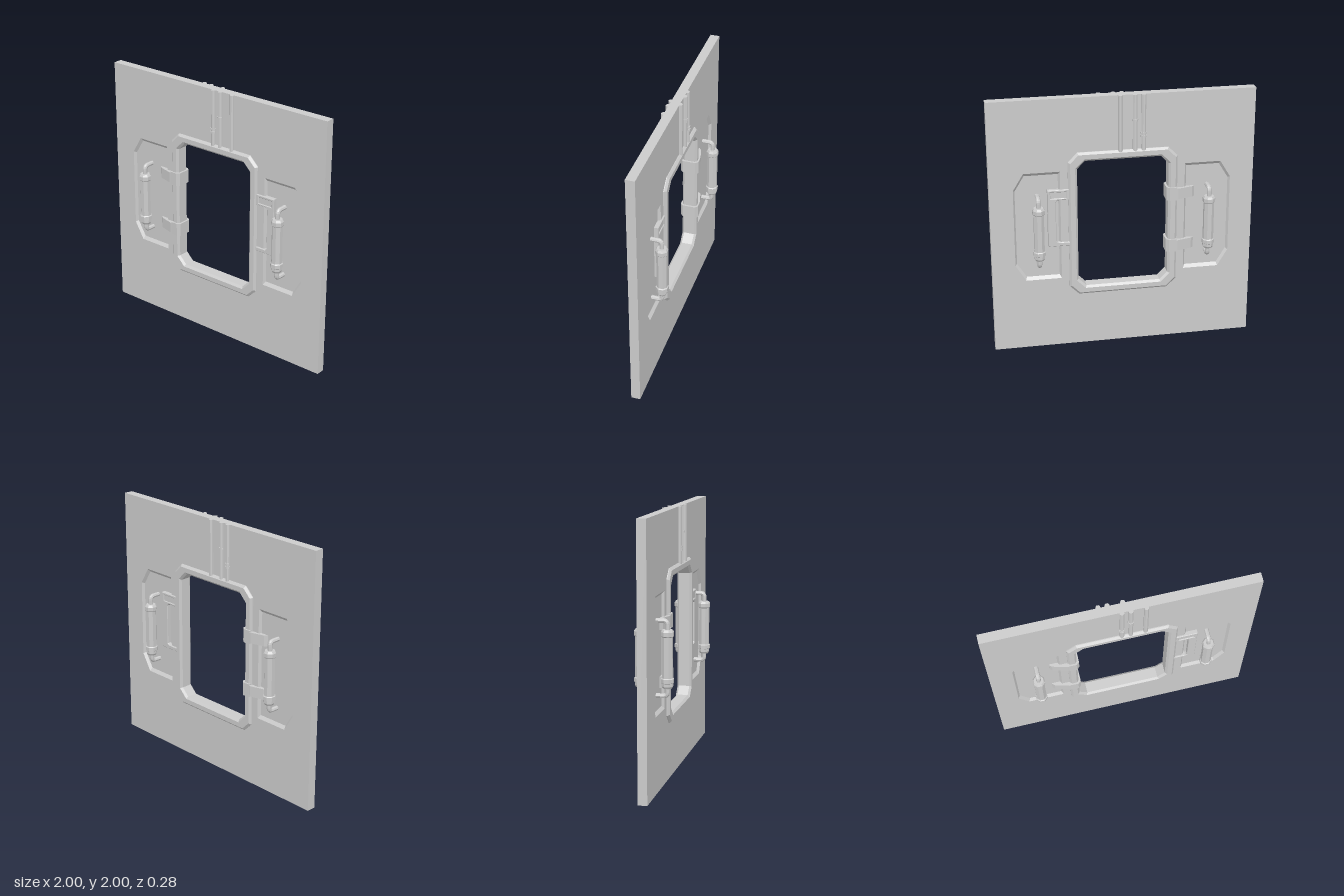
import * as THREE from 'three';

const mat = new THREE.MeshStandardMaterial({ color: 0xcccccc, flatShading: true, side: THREE.DoubleSide });
const WALL = 0.035, FLOOR = 0.015;

const vecs = pts => pts.map(([x, y]) => new THREE.Vector2(x, y));

// Extrudes an outline (with holes) symmetrically about z = 0
function slab(pts, holes, half, bevel = 0) {
  const shape = new THREE.Shape(vecs(pts));
  shape.holes = holes.map(h => new THREE.Path(vecs(h)));
  const depth = 2 * (half - bevel);
  const geo = new THREE.ExtrudeGeometry(shape, {
    depth, bevelEnabled: bevel > 0, bevelSize: bevel, bevelThickness: bevel, bevelOffset: -bevel, bevelSegments: 1,
  });
  return geo.translate(0, 0, -depth / 2);
}

// Rectangle with cut corners, counter-clockwise
function cutRect(x0, y0, x1, y1, c) {
  return [[x0 + c, y0], [x1 - c, y0], [x1, y0 + c], [x1, y1 - c],
    [x1 - c, y1], [x0 + c, y1], [x0, y1 - c], [x0, y0 + c]];
}

const rect = (x0, y0, x1, y1) => [[x0, y0], [x1, y0], [x1, y1], [x0, y1]];

// Sloped band from an outer outline at the wall face to an inner one at the recess floor
function slope(outer, inner, s) {
  const pos = [];
  outer.forEach((a, i) => {
    const j = (i + 1) % outer.length;
    const q = [[...a, s * WALL], [...outer[j], s * WALL], [...inner[j], s * FLOOR], [...inner[i], s * FLOOR]];
    const order = s > 0 ? [0, 1, 2, 0, 2, 3] : [0, 2, 1, 0, 3, 2];
    order.forEach(k => pos.push(...q[k]));
  });
  const geo = new THREE.BufferGeometry();
  geo.setAttribute('position', new THREE.Float32BufferAttribute(pos, 3));
  geo.computeVertexNormals();
  return geo;
}

export function createModel() {
  const model = new THREE.Group();
  const add = (name, geo, x = 0, y = 0, z = 0, parent = model) => {
    const mesh = new THREE.Mesh(geo, mat);
    mesh.name = name;
    mesh.position.set(x, y, z);
    parent.add(mesh);
    return mesh;
  };

  // Wall with the doorway and two side recesses
  const recessOuter = [[0.472, 0.57], [0.745, 0.57], [0.823, 0.7], [0.823, 1.308], [0.745, 1.438], [0.472, 1.438]];
  const recessInner = [[0.486, 0.594], [0.738, 0.594], [0.809, 0.71], [0.809, 1.298], [0.738, 1.414], [0.486, 1.414]];
  const flip = pts => pts.map(([x, y]) => [-x, y]).reverse();
  const doorway = cutRect(-0.37, 0.47, 0.37, 1.54, 0.07);
  add('wall', slab(rect(-1, 0, 1, 2), [doorway, recessOuter, flip(recessOuter)], WALL));
  for (const side of [1, -1]) {
    const outer = side > 0 ? recessOuter : flip(recessOuter);
    const inner = side > 0 ? recessInner : flip(recessInner);
    add('recessFloor', slab(outer, [], FLOOR));
    for (const s of [1, -1]) add('recessSlope', slope(outer, inner, s));
  }

  // Bevelled door frame
  add('doorFrame', slab(cutRect(-0.414, 0.427, 0.414, 1.58, 0.072),
    [cutRect(-0.345, 0.495, 0.345, 1.512, 0.06)], 0.057, 0.016));

  // Hinges: profile seen from above, extruded upwards
  const hinge = (pts, h) => {
    const both = [...pts, ...pts.map(([x, z]) => [x, -z]).reverse()];
    const geo = new THREE.ExtrudeGeometry(new THREE.Shape(vecs(both)), { depth: h, bevelEnabled: false });
    return geo.translate(0, 0, -h / 2).rotateX(-Math.PI / 2);
  };
  for (const y of [1.207, 0.782]) {
    const group = new THREE.Group();
    group.name = 'hinge';
    add('hingeArm', hinge([[-0.55, 0.02], [-0.53, 0.037], [-0.42, 0.067], [-0.38, 0.067]], 0.084), 0, y, 0, group);
    add('hingeClamp', hinge([[-0.41, 0.068], [-0.352, 0.07], [-0.33, 0.05]], 0.104), 0, y, 0, group);
    model.add(group);
  }

  // C-shaped latch housing with a recessed display
  const latch = [[0.39, 0.842], [0.57, 0.842], [0.57, 1.297], [0.39, 1.297], [0.39, 1.215], [0.495, 1.215],
    [0.508, 1.2], [0.508, 0.885], [0.495, 0.872], [0.39, 0.872]];
  const display = rect(0.43, 1.23, 0.548, 1.278);
  add('latchHousing', slab(latch, [display], 0.047, 0.004));
  add('latchDisplay', slab(rect(0.42, 1.222, 0.56, 1.288), [], 0.04));

  // Octagonal canisters with elbow pipes, one on each side of each recess
  const profile = vecs([[0, 0.765], [0.033, 0.765], [0.042, 0.78], [0.042, 0.802], [0.048, 0.806], [0.048, 0.834],
    [0.041, 0.84], [0.041, 1.135], [0.048, 1.142], [0.048, 1.172], [0.038, 1.188], [0, 1.188]]);
  const canister = new THREE.LatheGeometry(profile, 8, Math.PI / 8);
  const elbow = (y0, y1, s) => {
    const bend = 0.03 * Math.sign(y1 - y0);
    const v = (y, z) => new THREE.Vector3(0, y, s * z);
    const path = new THREE.CurvePath();
    path.add(new THREE.LineCurve3(v(y0, 0.098), v(y1 - bend, 0.098)));
    path.add(new THREE.QuadraticBezierCurve3(v(y1 - bend, 0.098), v(y1, 0.098), v(y1, 0.068)));
    path.add(new THREE.LineCurve3(v(y1, 0.068), v(y1, 0.005)));
    return new THREE.TubeGeometry(path, 16, 0.0175, 8);
  };
  for (const x of [0.645, -0.648]) for (const s of [1, -1]) {
    const group = new THREE.Group();
    group.name = 'canisterAssembly';
    add('canister', canister, 0, 0, s * 0.098, group);
    add('upperElbow', elbow(1.17, 1.252, s), 0, 0, 0, group);
    add('lowerElbow', elbow(0.78, 0.708, s), 0, 0, 0, group);
    group.position.x = x;
    model.add(group);
  }

  // Conduits running from the frame to the top edge, with clamp rings
  const rod = (r, h) => new THREE.CylinderGeometry(r, r, h, 8).rotateY(Math.PI / 8);
  for (const [s, shift] of [[1, 0], [-1, -0.15]]) {
    for (const x of [-0.004, 0.06, 0.17]) add('conduit', rod(0.018, 0.43), x + shift, 1.785, s * 0.039);
    for (const [x, y] of [[-0.004, 1.677], [-0.004, 1.702], [0.06, 1.805]]) {
      add('conduitRing', rod(0.023, 0.014), x + shift, y, s * 0.039);
    }
  }

  return model;
}
